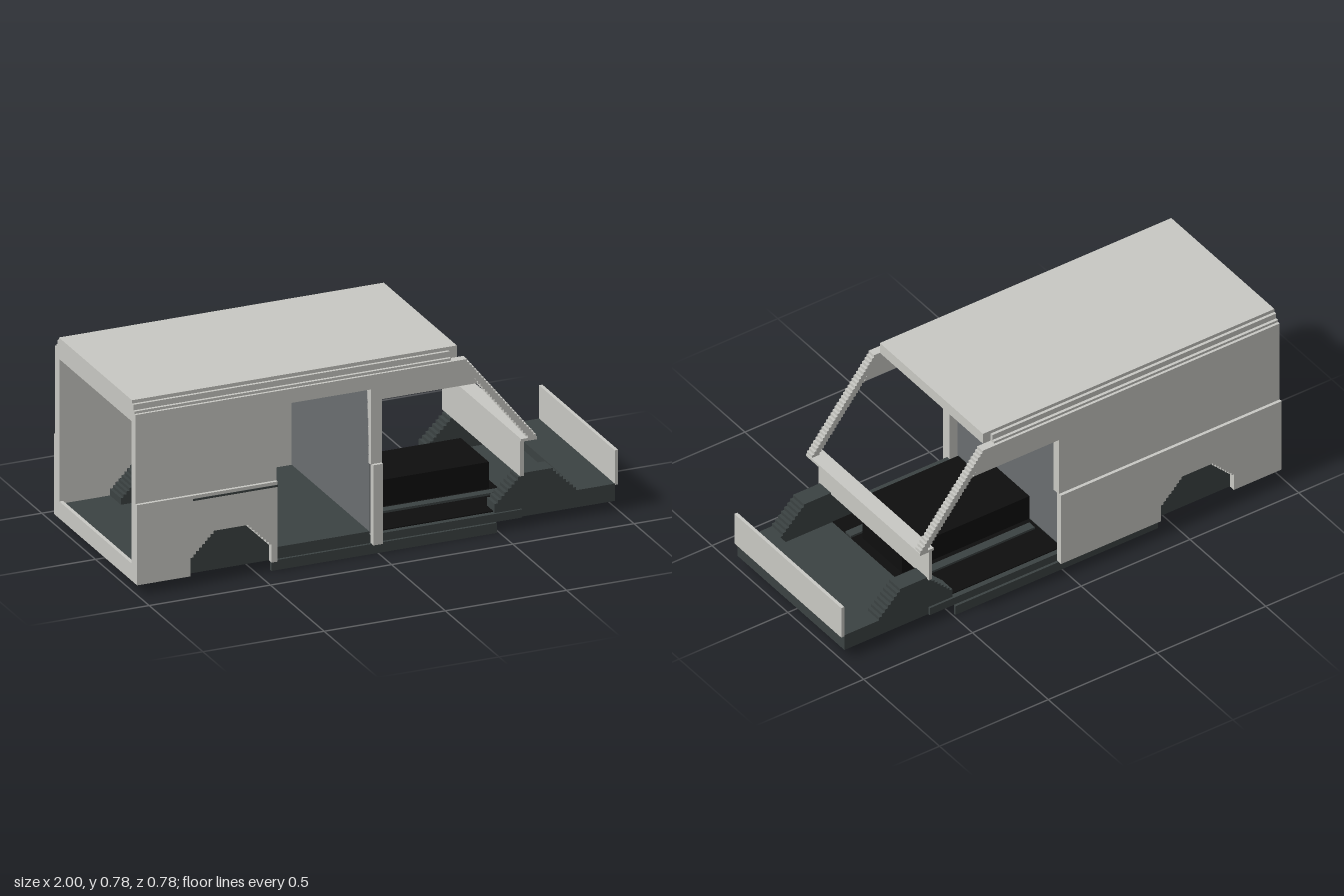
import * as THREE from 'three';

export function createModel() {
  const model = new THREE.Group();
  const material = (name, color) => {
    const m = new THREE.MeshStandardMaterial({ color });
    m.name = name;
    return m;
  };
  const paint = material('body paint', 0xc8c8c3);
  const dark = material('dark chassis', 0x3b4242);
  const black = material('black cab trim', 0x0e0e0e);
  const grey = material('bulkhead grey', 0x6a6e70);

  const add = (name, geometry, mat) => {
    const mesh = new THREE.Mesh(geometry, mat);
    mesh.name = name;
    model.add(mesh);
  };
  // Box given by its limits on each axis
  const box = (name, mat, x0, x1, y0, y1, z0, z1) => {
    const g = new THREE.BoxGeometry(x1 - x0, y1 - y0, z1 - z0);
    g.translate((x0 + x1) / 2, (y0 + y1) / 2, (z0 + z1) / 2);
    add(name, g, mat);
  };
  // Side profile pushed from z0 to z1
  const panel = (name, mat, points, z0, z1) => {
    const shape = new THREE.Shape(points.map(([x, y]) => new THREE.Vector2(x, y)));
    const g = new THREE.ExtrudeGeometry(shape, { depth: z1 - z0, bevelEnabled: false });
    g.translate(0, 0, z0);
    add(name, g, mat);
  };
  // Same span on the left or right side, s = 1 or -1
  const span = (s, a, b) => (s > 0 ? [a, b] : [-b, -a]);

  // Stepped wheel arch outline, from rear foot to front foot
  const archOutline = (x0, x1, yBase, yShoulder, yTop, run) => {
    const rear = [[x0, yBase], [x0, yShoulder]];
    const steps = 8;
    for (let i = 0; i < steps; i++) {
      const x = x0 + (run * (i + 1)) / steps;
      const y = yShoulder + ((yTop - yShoulder) * i) / steps;
      const next = yShoulder + ((yTop - yShoulder) * (i + 1)) / steps;
      rear.push([x, y], [x, next]);
    }
    const front = rear.map(([x, y]) => [x0 + x1 - x, y]).reverse();
    return [...rear, ...front];
  };
  const rearArch = archOutline(-0.78, -0.445, 0.04, 0.115, 0.21, 0.095);
  const frontArch = archOutline(0.49, 0.84, 0.04, 0.11, 0.217, 0.11);

  for (const s of [1, -1]) {
    // Lower side wall, cut out over the rear wheel; shorter on the sliding door side
    const end = s > 0 ? -0.42 : 0.015;
    panel('lowerSideWall', paint,
      [[-1, 0.04], ...rearArch, [end, 0.04], [end, 0.367], [-1, 0.367]],
      ...span(s, 0.362, 0.388));

    // Upper side wall with cab door header and, on one side, the sliding door opening
    const lowerEdge = s > 0
      ? [[-1, 0.365], [-0.42, 0.365], [-0.42, 0.672], [-0.03, 0.672], [-0.03, 0.365]]
      : [[-1, 0.365]];
    panel('upperSideWall', paint,
      [...lowerEdge, [0.015, 0.365], [0.015, 0.625], [0.41, 0.625], [0.345, 0.73], [-1, 0.73]],
      ...span(s, 0.34, 0.375));

    // Stepped windscreen pillar
    const steps = 30;
    const rise = 0.365 / steps;
    for (let i = 0; i < steps; i++) {
      const y = 0.73 - rise * (i + 1);
      const x = 0.345 + i * 0.0098;
      box('windscreenPillar', paint, x - 0.012, x + 0.022, y, y + rise, ...span(s, 0.34, 0.375));
    }

    // Roof gutter steps
    box('roofGutterUpper', paint, -1, 0.305, 0.73, 0.763, ...span(s, 0.34, 0.352));
    box('roofGutterLower', paint, -1, 0.305, 0.73, 0.74, ...span(s, 0.352, 0.364));

    // Wheel boxes, sill and underbody rail
    panel('rearWheelBox', dark, rearArch, ...span(s, 0.26, 0.361));
    panel('frontWheelBox', dark, frontArch, ...span(s, 0.28, 0.353));
    box('sill', dark, -0.44, 0.49, 0.002, 0.041, ...span(s, 0.363, 0.374));
    box('sillFoot', dark, -0.44, 0.49, 0, 0.002, ...span(s, 0.363, 0.374));
    box('underbodyRail', dark, -0.95, 0.96, 0.027, 0.042, ...span(s, 0.158, 0.194));
    box('cabFloorRail', dark, 0, 0.6, 0.076, 0.086, ...span(s, 0.158, 0.194));
    box('rearDoorPost', paint, -1, -0.985, 0.04, 0.73, ...span(s, 0.335, 0.364));
  }

  // Door post and slide track on the sliding door side
  box('doorPost', paint, -0.025, 0.015, 0.04, 0.367, 0.345, 0.388);
  box('slideTrack', dark, -0.77, -0.42, 0.346, 0.354, 0.385, 0.39);

  // Roof and rear opening
  box('roof', paint, -1, 0.34, 0.73, 0.777, -0.34, 0.34);
  box('rearHeader', paint, -1, -0.985, 0.69, 0.73, -0.335, 0.335);
  box('rearSill', paint, -1, -0.985, 0.04, 0.11, -0.335, 0.335);

  // Bulkhead between cab and load area
  box('bulkhead', grey, -0.03, -0.02, 0.08, 0.73, -0.362, 0.362);

  // Floors
  box('loadFloor', dark, -0.985, -0.03, 0.04, 0.088, -0.361, 0.361);
  box('cabFloor', dark, -0.03, 0.6, 0.04, 0.073, -0.362, 0.362);
  box('cabMat', black, -0.02, 0.6, 0.073, 0.077, -0.34, 0.34);
  box('engineCover', black, -0.02, 0.565, 0.077, 0.185, -0.13, 0.13);
  box('frontFloor', dark, 0.6, 0.84, 0.04, 0.075, -0.353, 0.353);

  // Cowl, firewall and nose
  box('cowl', paint, 0.59, 0.655, 0.355, 0.366, -0.375, 0.375);
  box('firewall', paint, 0.59, 0.606, 0.21, 0.356, -0.364, 0.364);
  box('noseBox', dark, 0.84, 0.986, 0.04, 0.11, -0.353, 0.353);
  box('nosePanel', paint, 0.986, 1, 0.105, 0.246, -0.353, 0.353);

  return model;
}
